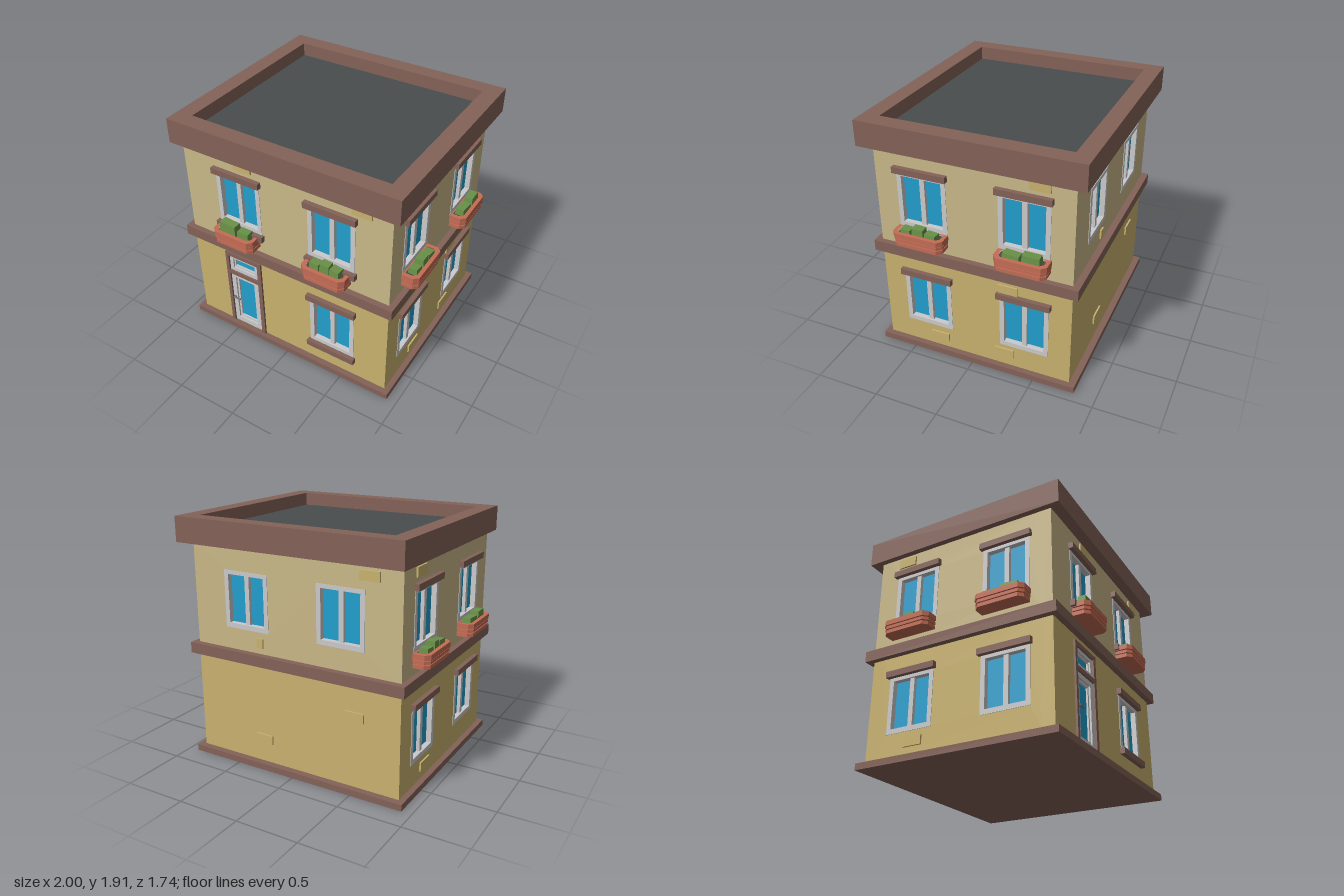
import * as THREE from 'three';

const paint = (name, color) => {
  const m = new THREE.MeshStandardMaterial({ color });
  m.name = name;
  return m;
};

export function createModel() {
  const brown = paint('brown trim', 0x846258);
  const ochre = paint('ochre wall', 0xc9b26f);
  const cream = paint('cream wall', 0xc9b888);
  const blue = paint('blue glass', 0x229fce);
  const white = paint('pale frame', 0xcbcbcd);
  const slate = paint('dark slate', 0x484d4d);
  const clay = paint('terracotta', 0xc46c54);
  const green = paint('leaf green', 0x6a9248);
  const metal = paint('grey metal', 0x77797c);

  const model = new THREE.Group();
  model.name = 'house';

  const add = (parent, name, geo, mat) => {
    const mesh = new THREE.Mesh(geo, mat);
    mesh.name = name;
    parent.add(mesh);
    return mesh;
  };
  // Box given by its two extreme corners
  const box = (parent, name, mat, x0, x1, y0, y1, z0, z1) => {
    const m = add(parent, name, new THREE.BoxGeometry(x1 - x0, y1 - y0, z1 - z0), mat);
    m.position.set((x0 + x1) / 2, (y0 + y1) / 2, (z0 + z1) / 2);
    return m;
  };
  const outline = (x0, x1, y0, y1) => [[x0, y0], [x1, y0], [x1, y1], [x0, y1]].map(p => new THREE.Vector2(...p));
  // Rectangular panel with rectangular holes, between depths z0 and z1
  const panel = (parent, name, mat, rect, holes, z0, z1) => {
    const shape = new THREE.Shape(outline(...rect));
    holes.forEach(h => shape.holes.push(new THREE.Path(outline(...h))));
    const geo = new THREE.ExtrudeGeometry(shape, { depth: z1 - z0, bevelEnabled: false });
    geo.translate(0, 0, z0);
    return add(parent, name, geo, mat);
  };

  // Plinth, storey band, roof parapet and sunken roof
  box(model, 'plinth', brown, -0.92, 0.92, 0, 0.05, -0.83, 0.783);
  box(model, 'storeyBand', brown, -0.92, 0.92, 0.845, 0.93, -0.83, 0.783);
  const parapet = panel(model, 'parapet', brown, [-0.92, 0.96, -0.82, 0.87], [[-0.79, 0.825, -0.69, 0.74]], 1.72, 1.915);
  parapet.rotation.x = -Math.PI / 2;
  box(model, 'roofDeck', slate, -0.8, 0.83, 1.722, 1.81, -0.75, 0.7);

  // Window centred on u with its frame bottom at y
  const W = 0.1925, H = 0.44;
  function addWindow(side, u, y, { lintel, sill }) {
    const g = new THREE.Group();
    g.name = 'window';
    g.position.set(u, y, 0);
    side.add(g);
    panel(g, 'windowFrame', white, [-W, W, 0, H], [[-0.157, 0.157, 0.037, H - 0.03]], -0.06, 0.004);
    box(g, 'mullion', white, -0.019, 0.019, 0.03, H - 0.02, -0.05, -0.01);
    box(g, 'windowGlass', blue, -0.17, 0.17, 0.02, H - 0.01, -0.045, -0.037);
    if (lintel) box(g, 'lintel', brown, -0.21, 0.21, H - 0.003, H + 0.045, -0.02, 0.037);
    if (sill) box(g, 'sill', brown, -0.21, 0.21, -0.045, 0.004, -0.02, 0.037);
  }

  // Planter outline: flat against the wall, outer corners chamfered
  const trough = (Kind, w, d, c, back) => new Kind(
    [[-w, back], [w, back], [w, d - c], [w - c, d], [c - w, d], [-w, d - c]].map(([x, z]) => new THREE.Vector2(x, -z)));
  function addPlanter(side, u, y, halfWidth, depth, bushes) {
    const g = new THREE.Group();
    g.name = 'planter';
    g.position.set(u, y, 0);
    side.add(g);
    const tier = (name, mat, inset, y0, y1, hollow) => {
      const s = trough(THREE.Shape, halfWidth - inset, depth - inset, 0.035, -0.005);
      if (hollow) s.holes.push(trough(THREE.Path, halfWidth - 0.03, depth - 0.03, 0.025, 0.015));
      const geo = new THREE.ExtrudeGeometry(s, { depth: y1 - y0, bevelEnabled: false });
      geo.rotateX(-Math.PI / 2).translate(0, y0, 0);
      add(g, name, geo, mat);
    };
    tier('planterFoot', clay, 0.006, 0, 0.028);
    tier('planterCore', clay, 0.016, 0.028, 0.066);
    tier('planterMiddle', clay, 0.004, 0.036, 0.06);
    tier('planterRim', clay, 0, 0.066, 0.105, true);
    tier('soil', slate, 0.025, 0.06, 0.085);
    // Clipped bushes, narrowing a little at the top
    bushes.forEach(([a, b, top], i) => {
      const h = top - y - 0.07;
      const geo = new THREE.BoxGeometry(b - a, h, 0.075);
      const p = geo.attributes.position;
      for (let k = 0; k < p.count; k++) {
        if (p.getY(k) > 0) p.setXYZ(k, p.getX(k) * 0.9, p.getY(k) - (p.getX(k) > 0 ? 0.006 : 0), p.getZ(k) * 0.86);
      }
      geo.computeVertexNormals();
      const m = add(g, 'bush', geo, green);
      m.position.set((a + b) / 2 - u, 0.07 + h / 2, 0.056);
      m.rotation.y = i % 2 ? 0.05 : -0.04;
    });
  }

  // Front door with transom light
  const doorHole = [-0.56, -0.25, 0.05, 0.78];
  function addDoor(side) {
    const g = new THREE.Group();
    g.name = 'frontDoor';
    side.add(g);
    panel(g, 'doorFrame', brown, [-0.575, -0.235, 0.05, 0.797],
      [[-0.545, -0.27, 0.052, 0.577], [-0.545, -0.27, 0.612, 0.762]], -0.05, 0.016);
    panel(g, 'doorLeaf', white, [-0.548, -0.267, 0.05, 0.58], [[-0.505, -0.318, 0.1, 0.54]], -0.045, 0.002);
    panel(g, 'doorMoulding', white, [-0.507, -0.316, 0.098, 0.542], [[-0.487, -0.335, 0.12, 0.522]], -0.045, -0.012);
    box(g, 'doorGlass', blue, -0.5, -0.32, 0.11, 0.535, -0.034, -0.026);
    panel(g, 'transomFrame', white, [-0.548, -0.267, 0.609, 0.765], [[-0.512, -0.303, 0.645, 0.735]], -0.045, 0.002);
    panel(g, 'transomMoulding', white, [-0.514, -0.301, 0.643, 0.737], [[-0.5, -0.313, 0.66, 0.724]], -0.045, -0.012);
    box(g, 'transomGlass', blue, -0.51, -0.305, 0.65, 0.73, -0.034, -0.026);
    box(g, 'handlePlate', metal, -0.537, -0.52, 0.308, 0.33, 0, 0.01);
    box(g, 'handleLever', metal, -0.535, -0.47, 0.314, 0.326, 0.01, 0.02);
  }

  // Each side: u runs to the viewer's right, depth 0 is the wall's outer face
  const sides = [
    { name: 'frontSide', pos: [0, 0, 0.737], turn: 0, span: [-0.875, 0.875], lintel: true,
      upper: [-0.393, 0.402], lower: [0.402], sill: true, door: true,
      bricks: [[-0.335, 1.658], [0.645, 1.652]],
      planters: [[-0.4, 0.982, 0.18, 0.133, [[-0.53, -0.378, 1.16], [-0.37, -0.268, 1.13]]],
        [0.39, 0.982, 0.18, 0.133, [[0.27, 0.352, 1.125], [0.356, 0.435, 1.145], [0.438, 0.52, 1.132]]]] },
    { name: 'backSide', pos: [0, 0, -0.778], turn: Math.PI, span: [-0.875, 0.875],
      upper: [-0.4, 0.4], lower: [],
      bricks: [[0.63, 1.64], [-0.285, 1.015, 0.055], [-0.275, 0.243], [0.515, 0.608]], planters: [] },
    { name: 'leftSide', pos: [0.875, 0, 0], turn: Math.PI / 2, span: [-0.657, 0.698], lintel: true,
      upper: [-0.37, 0.413], lower: [-0.37, 0.413],
      bricks: [[0.528, 1.653], [-0.288, 0.145], [0.258, 0.165], [0.288, 0.752]],
      planters: [[-0.375, 0.992, 0.2, 0.125, [[-0.515, -0.435, 1.125], [-0.425, -0.332, 1.147], [-0.325, -0.232, 1.122]]],
        [0.418, 0.992, 0.2, 0.125, [[0.28, 0.418, 1.128], [0.424, 0.565, 1.147]]]] },
    { name: 'rightSide', pos: [-0.875, 0, 0], turn: -Math.PI / 2, span: [-0.698, 0.657], lintel: true,
      upper: [-0.413, 0.37], lower: [-0.413, 0.37],
      bricks: [[-0.52, 1.655], [-0.37, 0.153]],
      planters: [[-0.425, 0.992, 0.2, 0.125, [[-0.565, -0.472, 1.125], [-0.465, -0.372, 1.147], [-0.365, -0.275, 1.13]]],
        [0.37, 0.992, 0.2, 0.125, [[0.225, 0.365, 1.13], [0.37, 0.515, 1.147]]]] },
  ];

  for (const s of sides) {
    const side = new THREE.Group();
    side.name = s.name;
    side.position.set(...s.pos);
    side.rotation.y = s.turn;
    model.add(side);
    const hole = y => u => [u - W + 0.005, u + W - 0.005, y + 0.005, y + H - 0.005];
    const lowerHoles = s.lower.map(hole(0.235));
    if (s.door) lowerHoles.push(doorHole);
    panel(side, 'lowerWall', ochre, [...s.span, 0.03, 0.88], lowerHoles, -0.08, 0);
    panel(side, 'upperWall', cream, [...s.span, 0.9, 1.74], s.upper.map(hole(1.098)), -0.08, 0);
    s.upper.forEach(u => addWindow(side, u, 1.098, s));
    s.lower.forEach(u => addWindow(side, u, 0.235, s));
    if (s.door) addDoor(side);
    s.planters.forEach(p => addPlanter(side, ...p));
    // Exposed bricks
    s.bricks.forEach(([u, y, w = 0.153]) =>
      box(side, 'brick', ochre, u - w / 2, u + w / 2, y - 0.036, y + 0.036, -0.01, 0.013));
  }
  return model;
}
